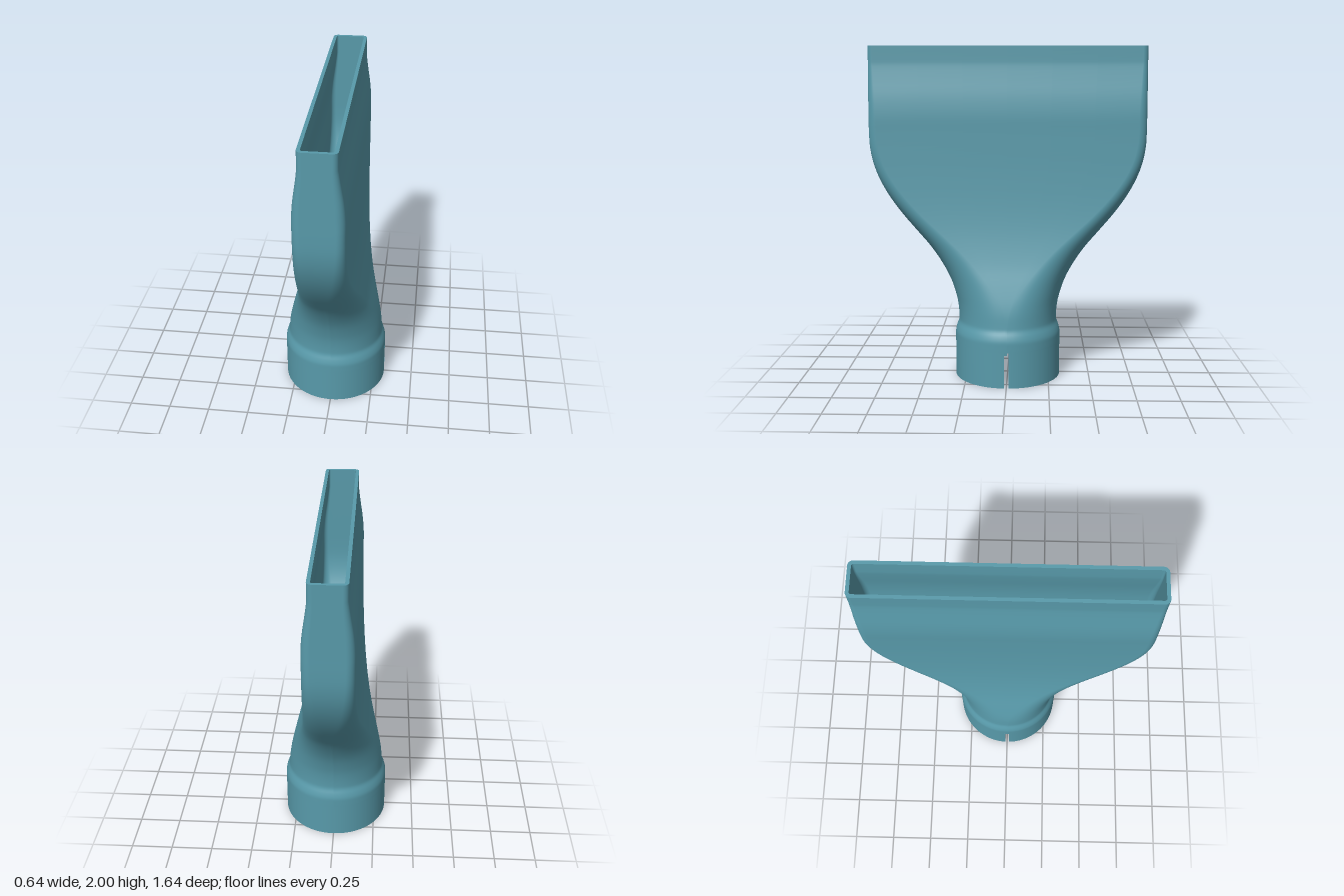
import * as THREE from 'three';
import { toCreasedNormals } from 'three/addons/utils/BufferGeometryUtils.js';

const WALL = 0.02;
const SLOT_TOP = 0.215;

// Cross-sections from collar to mouth: height, half width x, half depth z, corner radius
const SECTIONS = [
  [SLOT_TOP, 0.32, 0.32, 0.32], [0.25, 0.32, 0.32, 0.32], [0.28, 0.319, 0.319, 0.319],
  [0.31, 0.311, 0.311, 0.311], [0.34, 0.299, 0.3, 0.299], [0.37, 0.295, 0.298, 0.295],
  [0.43, 0.288, 0.302, 0.288], [0.5, 0.273, 0.315, 0.273], [0.6, 0.245, 0.348, 0.243],
  [0.7, 0.216, 0.4, 0.212], [0.8, 0.193, 0.467, 0.184], [0.9, 0.175, 0.55, 0.157],
  [1.0, 0.162, 0.632, 0.13], [1.1, 0.153, 0.702, 0.105], [1.2, 0.147, 0.757, 0.083],
  [1.3, 0.143, 0.795, 0.066], [1.4, 0.141, 0.815, 0.055], [1.5, 0.14, 0.82, 0.05],
  [1.6, 0.14, 0.82, 0.05], [1.7, 0.132, 0.82, 0.045], [1.8, 0.117, 0.82, 0.038],
  [1.88, 0.106, 0.82, 0.032], [1.92, 0.104, 0.82, 0.03], [2.0, 0.104, 0.82, 0.03],
];

// Rounded rectangle ring, inset by the wall thickness for the inside
function ring([y, a, b, r], inset) {
  const hx = a - inset, hz = b - inset;
  const rad = Math.min(Math.max(r - inset, 0.012), hx * 0.985, hz * 0.985);
  const corners = [[1, 1], [-1, 1], [-1, -1], [1, -1]];
  const pts = [];
  corners.forEach(([sx, sz], q) => {
    for (let i = 0; i <= 14; i++) {
      const t = (q + i / 14) * Math.PI / 2;
      pts.push(new THREE.Vector3(sx * (hx - rad) + rad * Math.cos(t), y, sz * (hz - rad) + rad * Math.sin(t)));
    }
    // Points along the straight side to the next corner
    const [nx, nz] = corners[(q + 1) % 4];
    const t = (q + 1) * Math.PI / 2;
    const from = pts[pts.length - 1];
    const to = new THREE.Vector3(nx * (hx - rad) + rad * Math.cos(t), y, nz * (hz - rad) + rad * Math.sin(t));
    for (let i = 1; i < 6; i++) pts.push(from.clone().lerp(to, i / 6));
  });
  return pts;
}

// Skin a list of closed rings
function loft(rings) {
  const n = rings[0].length, index = [];
  for (let j = 0; j < rings.length - 1; j++) {
    for (let i = 0; i < n; i++) {
      const p = j * n + i, q = j * n + (i + 1) % n;
      index.push(p, p + n, q, q, p + n, q + n);
    }
  }
  const g = new THREE.BufferGeometry().setFromPoints(rings.flat());
  g.setIndex(index);
  g.computeVertexNormals();
  return g;
}

// Smoothly resample the section list
function smoothSections() {
  const curve = (f) => new THREE.CatmullRomCurve3(SECTIONS.map(f), false, 'catmullrom', 0.5);
  const size = curve(([y, a, b]) => new THREE.Vector3(y, a, b));
  const round = curve(([y, , , r]) => new THREE.Vector3(y, r, 0));
  const steps = (SECTIONS.length - 1) * 3;
  return Array.from({ length: steps + 1 }, (_, i) => {
    const s = size.getPoint(i / steps);
    return [s.x, s.y, s.z, round.getPoint(i / steps).y];
  });
}

export function createModel() {
  const model = new THREE.Group();
  model.name = 'flatNozzle';
  const teal = new THREE.MeshStandardMaterial({ color: 0x589aaa });
  teal.name = 'teal';
  const add = (name, geometry) => {
    const mesh = new THREE.Mesh(geometry, teal);
    mesh.name = name;
    model.add(mesh);
    return mesh;
  };

  // Round neck flaring into a wide flat mouth
  const sections = smoothSections();
  const outer = sections.map((s) => ring(s, 0));
  const inner = sections.map((s) => ring(s, WALL)).reverse();
  add('outerShell', loft(outer));
  add('innerShell', loft(inner));
  add('mouthRim', loft([outer[outer.length - 1], inner[0]]));
  add('slotCeiling', loft([inner[inner.length - 1], outer[0]]));

  // Collar halves, parted by a slot on each side
  const R = 0.32, r = R - WALL, half = 0.0125;
  const g0 = Math.asin(half / R), g1 = Math.asin(half / r);
  const arc = new THREE.Shape();
  arc.absarc(0, 0, R, g0, Math.PI - g0, false);
  arc.absarc(0, 0, r, Math.PI - g1, g1, true);
  arc.closePath();
  const collar = toCreasedNormals(
    new THREE.ExtrudeGeometry(arc, { depth: SLOT_TOP, bevelEnabled: false, curveSegments: 48 }), 0.5);
  collar.rotateX(-Math.PI / 2);
  add('collarBack', collar);
  add('collarFront', collar).rotation.y = Math.PI;

  return model;
}
